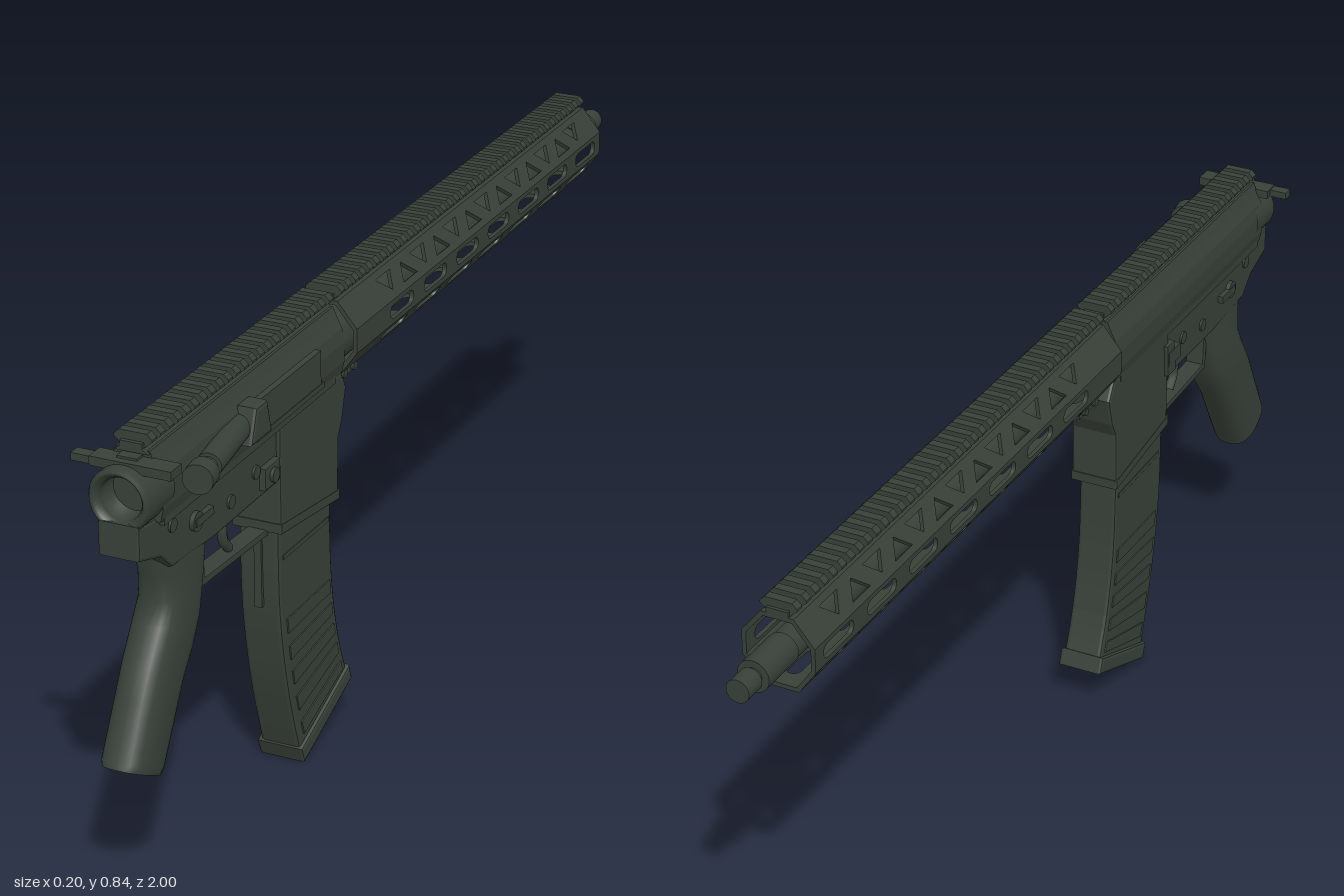
import * as THREE from 'three';

export function createModel() {
  const model = new THREE.Group();
  const body = new THREE.Group();
  body.name = 'body';
  body.position.x = -0.007;
  model.add(body);
  const mat = new THREE.MeshStandardMaterial({ color: 0x384038 });
  mat.name = 'dark olive grey';
  const V = (x, y, z) => new THREE.Vector3(x, y, z);

  const add = (name, geo, x = 0, y = 0, z = 0) => {
    const m = new THREE.Mesh(geo, mat);
    m.name = name;
    m.position.set(x, y, z);
    body.add(m);
    return m;
  };
  const box = (name, w, h, d, x, y, z) => add(name, new THREE.BoxGeometry(w, h, d), x, y, z);
  const shapeOf = (pts) => new THREE.Shape(pts.map(p => new THREE.Vector2(p[0], p[1])));
  // side profile given as [z, y], extruded symmetrically in x with a small chamfer
  const side = (name, pts, half, bevel = 0.006, x = 0) => {
    const g = new THREE.ExtrudeGeometry(shapeOf(pts), {
      depth: 2 * (half - bevel), bevelEnabled: bevel > 0, bevelThickness: bevel,
      bevelSize: bevel, bevelOffset: -bevel, bevelSegments: 2 });
    g.translate(0, 0, -(half - bevel));
    g.applyMatrix4(new THREE.Matrix4().makeBasis(V(0, 0, 1), V(0, 1, 0), V(-1, 0, 0)));
    return add(name, g, x);
  };
  // cross-section given as [x, y], extruded along z
  const along = (name, pts, z0, z1) =>
    add(name, new THREE.ExtrudeGeometry(shapeOf(pts), { depth: z1 - z0, bevelEnabled: false }), 0, 0, z0);
  const rodZ = (name, r, z0, z1, y, x = 0, r2 = r) => {
    const g = new THREE.CylinderGeometry(r2, r, z1 - z0, 32);
    g.rotateX(Math.PI / 2);
    return add(name, g, x, y, (z0 + z1) / 2);
  };
  const pin = (name, r, half, y, z, x = 0) => {
    const g = new THREE.CylinderGeometry(r, r, half * 2, 20);
    g.rotateZ(Math.PI / 2);
    return add(name, g, x, y, z);
  };
  const mirror = (pts) => [...pts, ...pts.map(p => [-p[0], p[1]]).reverse()];

  // toothed top rail
  const railBase = mirror([[0.03, 0.808], [0.02, 0.816], [0.02, 0.825]]);
  const tooth = mirror([[0.02, 0.815], [0.034, 0.827], [0.034, 0.831], [0.025, 0.84]]);
  const rail = (name, z0, z1) => {
    along(name + 'Base', railBase, z0, z1);
    const n = Math.round((z1 - z0) / 0.0285), pitch = (z1 - z0) / n;
    for (let i = 0; i < n; i++) along(name + 'Tooth', tooth, z0 + (i + 0.2) * pitch, z0 + (i + 0.75) * pitch);
  };
  rail('receiverRail', 0.256, 0.916);
  rail('handguardRail', -0.874, 0.238);

  // upper receiver
  const arch = [[0.046, 0.692], [0.051, 0.715], [0.052, 0.75], [0.047, 0.775], [0.038, 0.793], [0.03, 0.812]];
  along('upperReceiver', mirror(arch), 0.255, 0.91);
  box('portCover', 0.012, 0.062, 0.23, 0.052, 0.745, 0.475);
  pin('portHingePin', 0.005, 0.006, 0.71, 0.36, 0.052);
  box('portHinge', 0.01, 0.01, 0.25, 0.054, 0.71, 0.475);
  side('caseDeflector', [[0.585, 0.725], [0.66, 0.725], [0.64, 0.785], [0.6, 0.785]], 0.02, 0.006, 0.06);
  const assist = new THREE.Group();
  assist.name = 'forwardAssist';
  assist.position.set(0.066, 0.75, 0.75);
  assist.rotation.y = 0.16;
  body.add(assist);
  for (const [r, z0, z1] of [[0.022, -0.13, 0.05], [0.016, 0.05, 0.075], [0.026, 0.072, 0.105]])
    assist.add(rodZ('assistPlunger', r, z0, z1, 0));

  // charging handle
  box('chargingHandle', 0.145, 0.016, 0.036, 0.012, 0.793, 0.925);
  box('chargingLatch', 0.04, 0.013, 0.022, -0.074, 0.793, 0.93);
  box('chargingShaft', 0.036, 0.016, 0.06, 0, 0.797, 0.9);

  // open ring at the rear of the receiver
  const ring = new THREE.LatheGeometry(
    [[0, 0], [0.037, 0], [0.037, 0.075], [0.044, 0.085], [0.05, 0.088], [0.055, 0.08], [0.055, 0]]
      .map(p => new THREE.Vector2(p[0], p[1])).reverse(), 40);
  ring.rotateX(Math.PI / 2);
  // keep the profile winding outward on every side of the ring
  const ringMesh = add('rearRing', ring, 0, 0.742, 0.877);
  ringMesh.material = mat.clone();
  ringMesh.material.side = THREE.DoubleSide;

  // lower receiver and magazine well
  side('lowerReceiver', [[0.965, 0.705], [0.965, 0.645], [0.895, 0.622], [0.86, 0.59], [0.72, 0.58],
    [0.47, 0.58], [0.47, 0.697], [0.9, 0.697]], 0.038);
  side('magazineWell', [[0.492, 0.695], [0.492, 0.49], [0.27, 0.462], [0.266, 0.575], [0.25, 0.605],
    [0.235, 0.66], [0.255, 0.695]], 0.046);
  side('wellLip', [[0.494, 0.506], [0.494, 0.488], [0.268, 0.459], [0.268, 0.477]], 0.048, 0.003);
  box('receiverSeam', 0.094, 0.014, 0.62, 0, 0.69, 0.59);
  for (const [y, z] of [[0.665, 0.86], [0.655, 0.29], [0.62, 0.66], [0.635, 0.57]])
    pin('receiverPin', 0.012, 0.042, y, z);
  pin('selectorPivot', 0.017, 0.046, 0.64, 0.785);
  for (const s of [-1, 1]) box('selectorLever', 0.01, 0.014, 0.06, s * 0.043, 0.64, 0.765);
  side('magazineRelease', [[0.555, 0.635], [0.555, 0.595], [0.5, 0.595], [0.5, 0.635]], 0.008, 0.003, 0.042);
  pin('releaseButton', 0.013, 0.006, 0.615, 0.527, 0.05);
  side('boltCatch', [[0.5, 0.665], [0.47, 0.665], [0.475, 0.6], [0.51, 0.6]], 0.008, 0.003, -0.046);
  box('boltCatchPad', 0.014, 0.028, 0.05, -0.048, 0.635, 0.5);

  // trigger and its guard
  side('triggerGuard', [[0.735, 0.585], [0.728, 0.49], [0.48, 0.478], [0.48, 0.49], [0.715, 0.502], [0.72, 0.585]], 0.018, 0.002);
  const curve = new THREE.CatmullRomCurve3([V(0, 0.59, 0.598), V(0, 0.56, 0.617), V(0, 0.525, 0.617), V(0, 0.5, 0.598)]);
  add('trigger', new THREE.TubeGeometry(curve, 14, 0.009, 8));

  // pistol grip: ellipse-like sections between back and front points [zBack, yBack, zFront, yFront, halfWidth]
  const sections = [[0.89, 0.635, 0.705, 0.605, 0.036], [0.874, 0.57, 0.715, 0.565, 0.038],
    [0.866, 0.524, 0.735, 0.513, 0.042], [0.885, 0.488, 0.752, 0.462, 0.045], [0.922, 0.433, 0.776, 0.418, 0.045],
    [0.948, 0.385, 0.81, 0.375, 0.044], [0.995, 0.293, 0.89, 0.242, 0.045], [1.0, 0.283, 0.896, 0.23, 0.041]];
  const N = 32, pos = [], idx = [];
  for (const [zb, yb, zf, yf, w] of sections) for (let i = 0; i < N; i++) {
    const a = i / N * 2 * Math.PI, c = Math.cos(a), s = Math.sin(a);
    const t = 0.5 + 0.5 * Math.sign(c) * Math.abs(c) ** 0.8;
    pos.push(w * Math.sign(s) * Math.abs(s) ** 0.75, yf + (yb - yf) * t, zf + (zb - zf) * t);
  }
  for (let k = 0; k < sections.length - 1; k++) for (let i = 0; i < N; i++) {
    const a = k * N + i, b = k * N + (i + 1) % N;
    idx.push(a, a + N, b, b, a + N, b + N);
  }
  // separate cap ring keeps the bottom edge crisp
  const last = (sections.length - 1) * N, cap = pos.length / 3;
  pos.push(...pos.slice(last * 3));
  for (let i = 1; i < N - 1; i++) idx.push(cap, cap + i + 1, cap + i);
  const grip = new THREE.BufferGeometry();
  grip.setAttribute('position', new THREE.Float32BufferAttribute(pos, 3));
  grip.setIndex(idx);
  grip.computeVertexNormals();
  add('pistolGrip', grip);

  // curved magazine: rear and front edges as [z, y]
  const rear = new THREE.SplineCurve([[0.488, 0.52], [0.485, 0.34], [0.458, 0.176], [0.412, 0.02]].map(p => new THREE.Vector2(...p)));
  const front = new THREE.SplineCurve([[0.286, 0.52], [0.281, 0.337], [0.259, 0.203], [0.222, 0.095]].map(p => new THREE.Vector2(...p)));
  const edge = (c, n) => c.getPoints(n).map(p => [p.x, p.y]);
  side('magazine', [...edge(rear, 14), ...edge(front, 14).reverse()], 0.038, 0.007);
  const strip = (name, t0, t1, u0, u1, half) => {
    const at = (t, u) => { const p = rear.getPoint(t).lerp(front.getPoint(t), u); return [p.x, p.y]; };
    side(name, [at(t0, u0), at(t1, u0), at(t1, u1), at(t0, u1)], half, 0.002);
  };
  strip('magazineCollar', 0.17, 0.185, 0.08, 0.95, 0.04);
  for (let i = 0; i < 5; i++) strip('magazineRib', 0.39 + i * 0.115, 0.45 + i * 0.115, 0.1, 0.92, 0.041);
  side('magazineBase', [[0.421, 0.035], [0.409, 0.004], [0.214, 0.079], [0.225, 0.11]], 0.045, 0.006);
  box('magazineSpine', 0.014, 0.16, 0.012, 0, 0.42, 0.487);

  // hollow octagonal handguard made of slotted panels, listed counter-clockwise
  const Z0 = -0.874, Z1 = 0.238, wall = 0.008;
  const oct = [[-0.035, 0.68], [0.035, 0.68], [0.067, 0.725], [0.067, 0.77], [0.03, 0.815],
    [-0.03, 0.815], [-0.067, 0.77], [-0.067, 0.725]];
  const slot = (z, t, len, h) => {
    const p = new THREE.Path(), r = h / 2, e = len / 2 - r;
    p.absarc(z + e, t, r, -Math.PI / 2, Math.PI / 2);
    p.absarc(z - e, t, r, Math.PI / 2, Math.PI * 1.5);
    p.closePath();
    return p;
  };
  oct.forEach((p, i) => {
    const q = oct[(i + 1) % 8], L = Math.hypot(q[0] - p[0], q[1] - p[1]);
    const shape = shapeOf([[Z0, 0], [Z1, 0], [Z1, L], [Z0, L]]);
    if (i === 3 || i === 5) {
      // alternating triangular cut-outs on the upper slopes
      for (let k = 0; k < 13; k++) {
        const z = 0.072 - k * 0.071, up = k % 2 ? 1 : -1, low = i === 3 ? 1 : -1;
        const tri = [[z - 0.029, -0.017], [z + 0.029, -0.017], [z, 0.015]];
        shape.holes.push(new THREE.Path(tri.map(([a, b]) => new THREE.Vector2(a, L / 2 + b * up * low))));
      }
    } else if (i !== 4) {
      for (let k = 0; k < 7; k++) shape.holes.push(slot(0.053 - k * 0.142, L / 2, i === 0 ? 0.085 : 0.097, 0.027));
    }
    const g = new THREE.ExtrudeGeometry(shape, { depth: wall, bevelEnabled: false, curveSegments: 8 });
    const d = V((q[0] - p[0]) / L, (q[1] - p[1]) / L, 0);
    const m = new THREE.Matrix4().makeBasis(V(0, 0, 1), d, V(-d.y, d.x, 0));
    g.applyMatrix4(m.setPosition(p[0], p[1], 0));
    add('handguardPanel', g);
  });
  box('handguardClamp', 0.05, 0.022, 0.075, 0, 0.671, 0.19);
  for (const z of [0.17, 0.21]) pin('clampScrew', 0.008, 0.032, 0.67, z);

  // barrel
  rodZ('barrelNut', 0.052, 0.14, 0.26, 0.746);
  rodZ('barrel', 0.027, -0.88, 0.2, 0.746);
  rodZ('barrelShoulder', 0.029, -0.952, -0.86, 0.746);
  rodZ('barrelNeck', 0.016, -0.965, -0.95, 0.746);
  rodZ('muzzle', 0.021, -1, -0.96, 0.746);
  return model;
}
